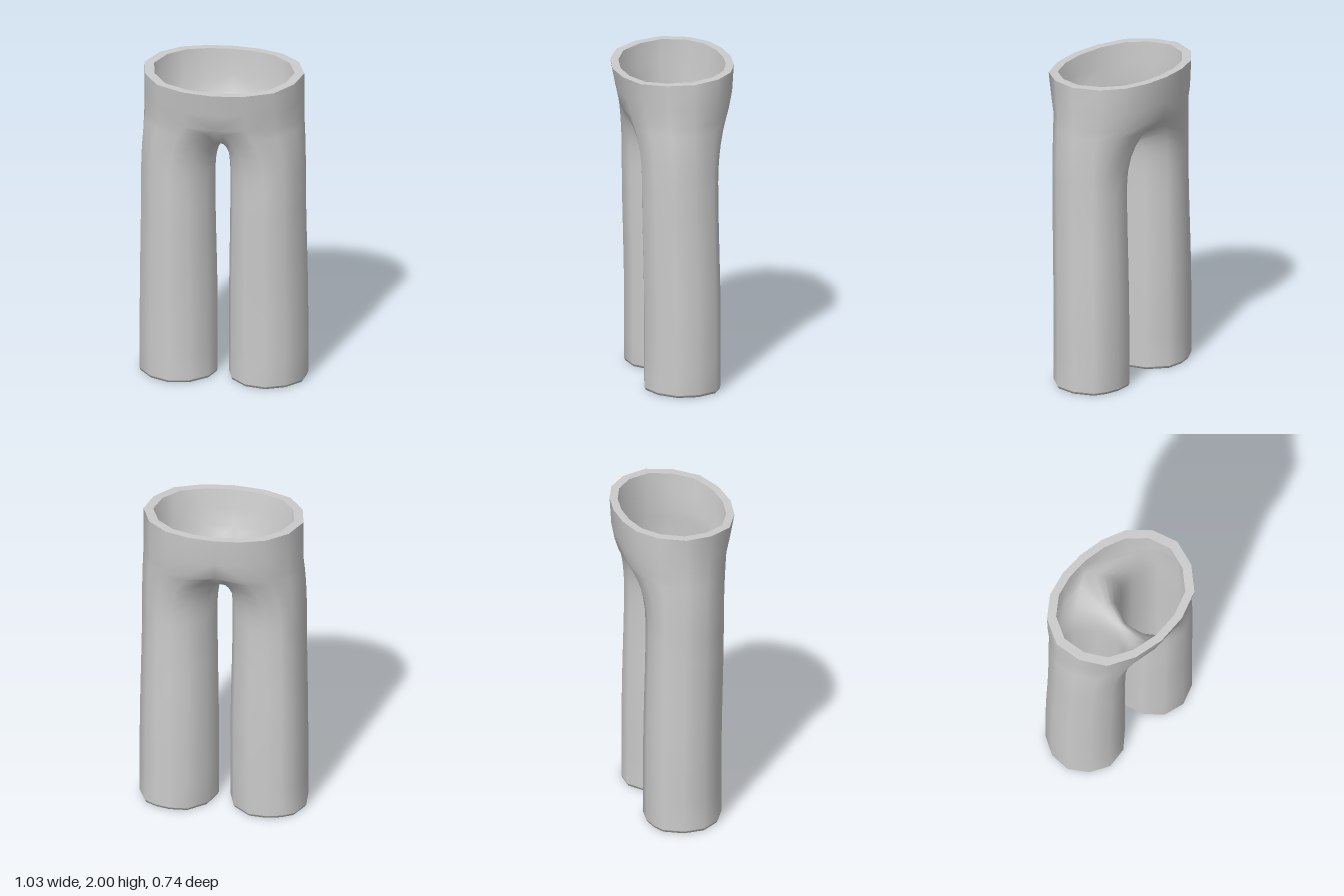
import * as THREE from 'three';
import { mergeVertices } from 'three/addons/utils/BufferGeometryUtils.js';

const V = (x, y, z) => new THREE.Vector3(x, y, z);
const lerp = THREE.MathUtils.lerp;

// Leg outline (x, z) for the left leg: front, outside, back, inside
const LEG = [[.17, .205], [.3, .23], [.42, .175], [.505, .07], [.515, -.06], [.46, -.18],
  [.39, -.22], [.3, -.243], [.19, -.235], [.08, -.14], [.035, 0], [.07, .11]];
// Left half of the waist outline (x, z), front centre to back centre
const WAIST = [[0, .365], [.19, .34], [.36, .265], [.46, .125], [.495, -.04], [.43, -.2],
  [.31, -.305], [.16, -.355], [0, -.37]];
// Underside of the crotch, back to front
const CROTCH = [V(0, 1.57, -.15), V(0, 1.52, 0), V(0, 1.57, .14)];

// Legs narrow a little and lean forward as they rise
const legRing = (y, s = 1) => LEG.map(([x, z]) => {
  const t = THREE.MathUtils.smoothstep(y, 0.4, 1.3);
  const sx = s * lerp(1, 0.95, t);
  return V(0.272 + (x - 0.272) * sx, y, -0.008 + (z + 0.008) * s + 0.015 * t);
});

// Waist height dips slightly towards the front
const waistHeight = (z) => 2 - 0.03 * ((z + 0.37) / 0.74) ** 2;

// Half oval around the hips, scaled separately at front and back
const hipArc = (heightAt, front, back, sx = 1) => WAIST.map(([x, z]) =>
  V(x * sx, heightAt(z), z * (z > 0 ? front : back)));

// Skin rows of points, and mirror each strip across x = 0
function skin(strips) {
  const pos = [];
  const tri = (a, b, c) => {
    pos.push(a.x, a.y, a.z, b.x, b.y, b.z, c.x, c.y, c.z);
    pos.push(-a.x, a.y, a.z, -c.x, c.y, c.z, -b.x, b.y, b.z);
  };
  for (const { rows, closed } of strips) {
    const n = rows[0].length;
    for (let r = 0; r < rows.length - 1; r++) {
      for (let k = 0; k < (closed ? n : n - 1); k++) {
        const j = (k + 1) % n;
        tri(rows[r][k], rows[r][j], rows[r + 1][j]);
        tri(rows[r][k], rows[r + 1][j], rows[r + 1][k]);
      }
    }
  }
  const geo = new THREE.BufferGeometry();
  geo.setAttribute('position', new THREE.Float32BufferAttribute(pos, 3));
  const merged = mergeVertices(geo, 1e-4);
  merged.computeVertexNormals();
  return merged;
}

export function createModel() {
  const group = new THREE.Group();
  group.name = 'trousers';
  const material = new THREE.MeshStandardMaterial({ color: 0xcccccc, side: THREE.DoubleSide });
  const add = (name, strips) => {
    const mesh = new THREE.Mesh(skin(strips), material);
    mesh.name = name;
    group.add(mesh);
  };

  // Legs, straight up to just below the crotch
  const legs = [0.015, 0.2, 0.4, 0.6, 0.8, 1, 1.15, 1.3].map((y) => legRing(y));

  // Seat: each column curves from the leg to the hips or the crotch seam
  const start = legs[legs.length - 1];
  const hipLine = hipArc(() => 1.72, 0.85, 0.91);
  const end = [...hipLine, ...CROTCH];
  const bend = end.map((_, k) => (k > 8 ? 1 : k === 0 || k === 8 ? 0.75 : 0.6));
  const seat = [1, 2, 3, 4, 5, 6].map((i) => start.map((p, k) => {
    const control = V(p.x, lerp(p.y, end[k].y, bend[k]), p.z);
    return new THREE.QuadraticBezierCurve3(p, control, end[k]).getPoint(i / 6);
  }));

  // Hips and waist, above the seat
  const waist = hipArc(waistHeight, 1, 1);
  const hips = [hipLine, hipArc(() => 1.83, 0.92, 0.97), waist];
  add('legsAndSeat', [{ rows: [...legs, ...seat], closed: true }, { rows: hips, closed: false }]);

  // Turned-in hems at the ankles
  add('legHems', [{ rows: [legRing(0, 0.69), legRing(0, 0.97), legRing(0.015)], closed: true }]);

  // Flat turned-in rim around the waist
  const rim = hipArc(waistHeight, 0.865, 0.87, 0.88);
  add('waistRim', [{ rows: [waist, rim], closed: false }]);

  return group;
}
